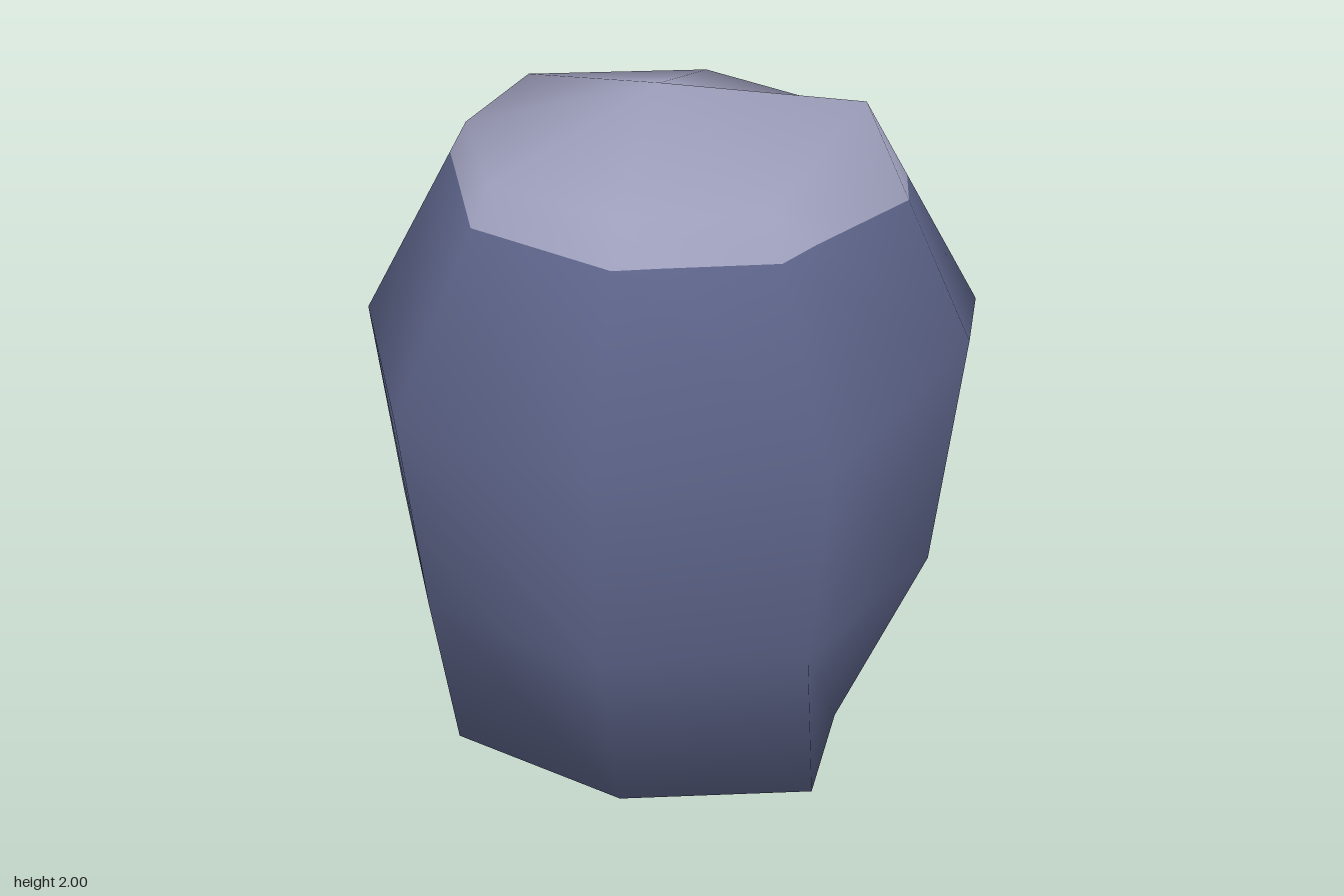
import * as THREE from 'three';

// Cross-sections from top to bottom, each [x, y, z] running -x, +z, +x, -z
const shoulder = [
  [-0.535, 1.825, -0.01], [-0.365, 1.84, 0.36], [0, 1.85, 0.48], [0.37, 1.84, 0.365],
  [0.54, 2, -0.01], [0.525, 1.83, -0.28], [0.02, 1.825, -0.48], [-0.45, 1.83, -0.33],
];
const belly = [
  [-0.85, 1.21, -0.02], [-0.585, 1.22, 0.555], [0, 1.23, 0.75], [0.575, 1.22, 0.555],
  [0.845, 1.325, -0.02], [0.815, 1.22, -0.44], [0.02, 1.21, -0.757], [-0.79, 1.22, -0.57],
];
const waist = belly.map(([x, , z]) => [x * 0.915, 0.605, z * 0.92]);
const foot = [
  [-0.535, 0, -0.01], [-0.525, 0, 0.335], [0, 0, 0.5], [0.525, 0, 0.345],
  [0.53, 0, -0.01], [0.46, 0, -0.45], [0.01, 0, -0.54], [-0.515, 0, -0.52],
];
const SNOW_LINE = 1.73;

// Closed smooth boulder: rings joined in loops, with one vertex at each pole
function boulderGeometry() {
  const rings = [shoulder, belly, waist, foot];
  const n = shoulder.length;
  const points = [...rings.flat(), [0, 2, 0], [0, 0, 0]];
  const top = points.length - 2, bottom = points.length - 1;
  const index = [];
  for (let c = 0; c < n; c++) {
    const d = (c + 1) % n;
    index.push(top, c, d);
    for (let r = 0; r < rings.length - 1; r++) {
      const a = r * n, b = a + n;
      index.push(a + c, b + c, b + d, a + c, b + d, a + d);
    }
    const f = (rings.length - 1) * n;
    index.push(bottom, f + d, f + c);
  }
  const geometry = new THREE.BufferGeometry();
  geometry.setAttribute('position', new THREE.Float32BufferAttribute(points.flat(), 3));
  geometry.setIndex(index);
  geometry.computeVertexNormals();
  return geometry;
}

// Keeps the part above (side = 1) or below (side = -1) a level, with smooth normals
function cutAtLevel(source, level, side) {
  const pos = source.attributes.position, nor = source.attributes.normal, idx = source.index;
  const positions = [], normals = [];
  const corner = (i) => ({
    p: new THREE.Vector3().fromBufferAttribute(pos, i),
    n: new THREE.Vector3().fromBufferAttribute(nor, i),
  });
  for (let t = 0; t < idx.count; t += 3) {
    const tri = [0, 1, 2].map((k) => corner(idx.getX(t + k)));
    const kept = [];
    tri.forEach((a, k) => {
      const b = tri[(k + 1) % 3];
      const ha = (a.p.y - level) * side, hb = (b.p.y - level) * side;
      if (ha >= 0) kept.push(a);
      if (ha * hb < 0) {
        const s = ha / (ha - hb);
        kept.push({ p: a.p.clone().lerp(b.p, s), n: a.n.clone().lerp(b.n, s).normalize() });
      }
    });
    for (let k = 1; k + 1 < kept.length; k++) {
      for (const v of [kept[0], kept[k], kept[k + 1]]) {
        positions.push(...v.p.toArray());
        normals.push(...v.n.toArray());
      }
    }
  }
  const geometry = new THREE.BufferGeometry();
  geometry.setAttribute('position', new THREE.Float32BufferAttribute(positions, 3));
  geometry.setAttribute('normal', new THREE.Float32BufferAttribute(normals, 3));
  return geometry;
}

export function createModel() {
  const group = new THREE.Group();
  group.name = 'boulder';
  const boulder = boulderGeometry();

  const addPart = (name, colourName, color, side) => {
    const material = new THREE.MeshStandardMaterial({ color });
    material.name = colourName;
    const mesh = new THREE.Mesh(cutAtLevel(boulder, SNOW_LINE, side), material);
    mesh.name = name;
    group.add(mesh);
  };
  // Blue-grey stone body and its pale cap
  addPart('rockBody', 'slate blue', 0x5c6388, -1);
  addPart('paleCap', 'pale grey lilac', 0x9fa0bd, 1);
  return group;
}
